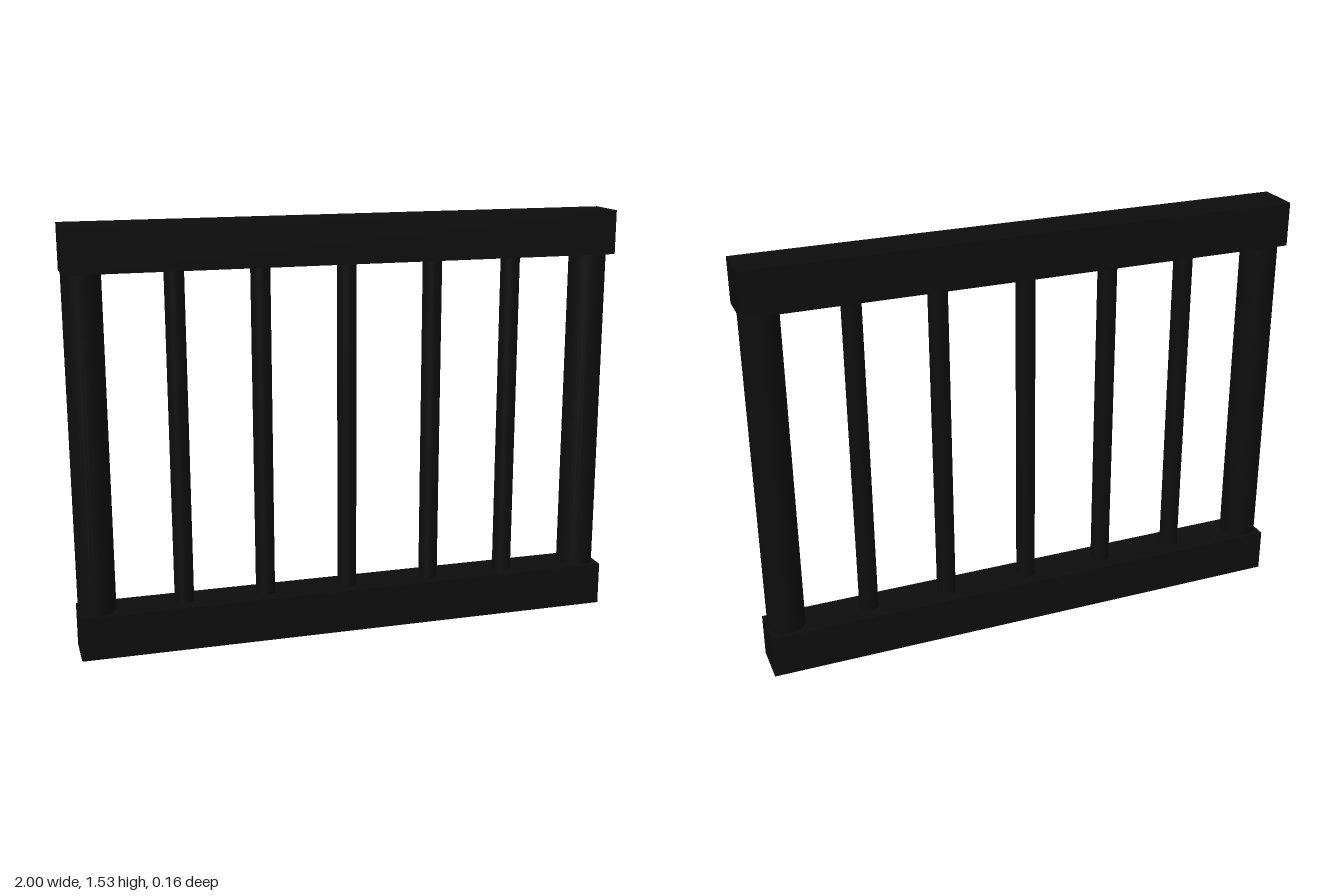
import * as THREE from 'three';

export function createModel() {
  const group = new THREE.Group();
  const material = new THREE.MeshStandardMaterial({ color: 0x0d0d0d });
  const height = 1.53, rail = 0.16;

  function add(name, geometry, x, y) {
    const mesh = new THREE.Mesh(geometry, material);
    mesh.name = name;
    mesh.position.set(x, y, 0);
    group.add(mesh);
  }

  // Square rails along the bottom and top
  const railGeometry = new THREE.BoxGeometry(2, rail, rail);
  add('bottomRail', railGeometry, 0, rail / 2);
  add('topRail', railGeometry, 0, height - rail / 2);

  // Round uprights, set slightly into both rails
  const length = height - 2 * rail + 0.02;
  const postGeometry = new THREE.CylinderGeometry(0.068, 0.068, length, 32);
  const barGeometry = new THREE.CylinderGeometry(0.035, 0.035, length, 32);

  // Thick end posts
  add('rightPost', postGeometry, -0.932, height / 2);
  add('leftPost', postGeometry, 0.928, height / 2);

  // Thin bars between the posts
  [-0.618, -0.316, -0.003, 0.318, 0.62].forEach((x, i) => {
    add('bar' + (i + 1), barGeometry, x, height / 2);
  });

  return group;
}
